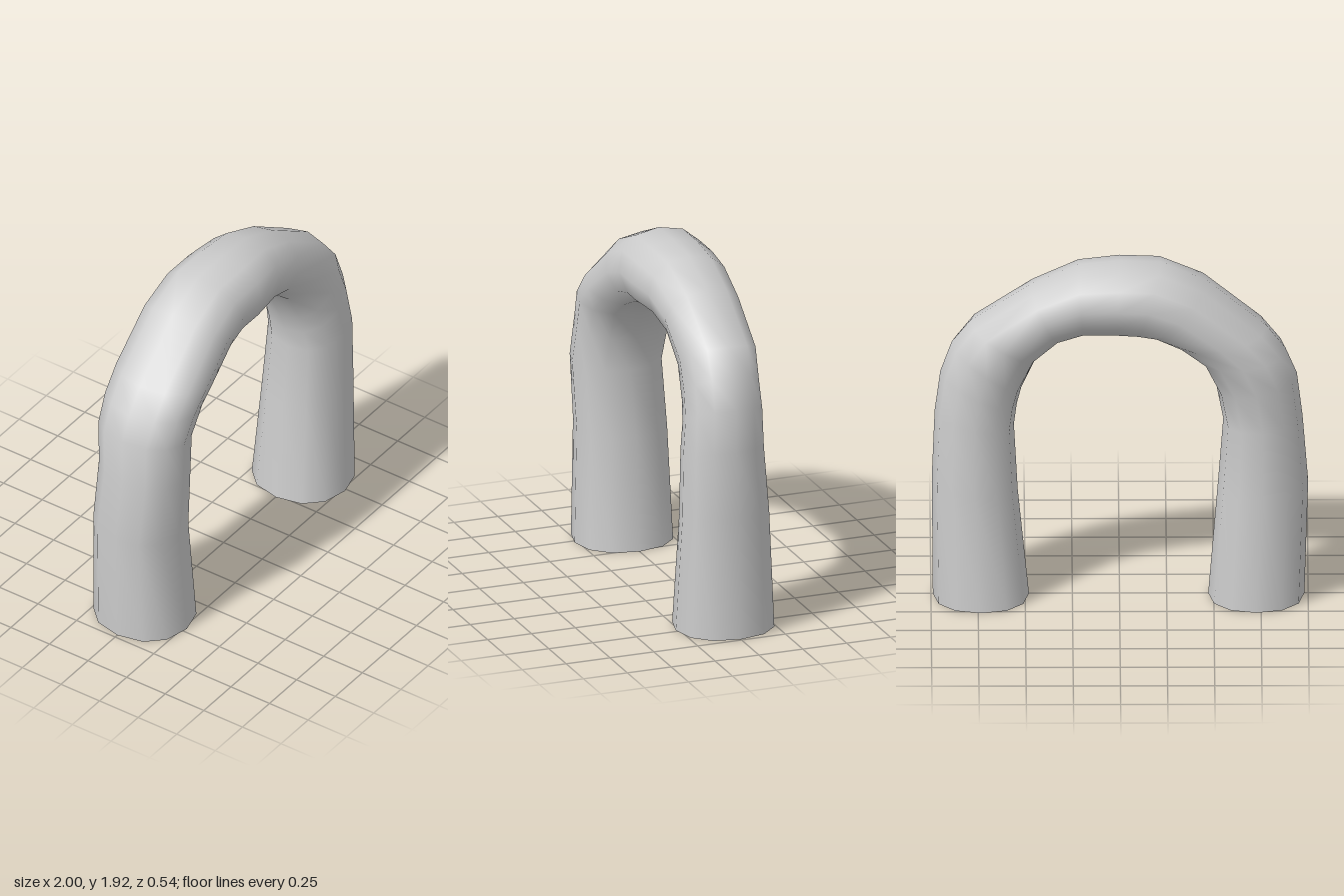
import * as THREE from 'three';

// Cross-sections along the arch: outer x, y, inner x, y, back z, front z
const SECTIONS = [
  [-0.98, 0, -0.47, 0, -0.27, 0.27],
  [-1.0, 0.65, -0.52, 0.62, -0.25, 0.245],
  [-0.97, 1.02, -0.55, 1.0, -0.225, 0.27],
  [-0.94, 1.27, -0.515, 1.19, -0.25, 0.255],
  [-0.88, 1.41, -0.43, 1.36, -0.255, 0.27],
  [-0.78, 1.54, -0.3, 1.455, -0.26, 0.27],
  [-0.46, 1.81, -0.18, 1.505, -0.265, 0.25],
  [-0.22, 1.915, -0.09, 1.515, -0.26, 0.24],
  [0, 1.92, 0.02, 1.52, -0.255, 0.245],
  [0.22, 1.9, 0.19, 1.52, -0.24, 0.22],
  [0.47, 1.79, 0.32, 1.48, -0.23, 0.2],
  [0.79, 1.58, 0.44, 1.37, -0.22, 0.2],
  [0.89, 1.45, 0.52, 1.19, -0.2, 0.21],
  [0.95, 1.28, 0.545, 1.09, -0.2, 0.22],
  [0.98, 1.05, 0.56, 0.97, -0.2, 0.24],
  [0.995, 0.68, 0.54, 0.6, -0.23, 0.245],
  [0.99, 0, 0.48, 0, -0.27, 0.27],
];
const SIDES = 12;

// Slightly squared circle
const soft = (v) => Math.sign(v) * Math.pow(Math.abs(v), 0.9);

function archGeometry() {
  const positions = [];
  const index = [];
  SECTIONS.forEach(([ox, oy, ix, iy, back, front], s) => {
    for (let k = 0; k < SIDES; k++) {
      const t = (k / SIDES) * Math.PI * 2;
      const c = soft(Math.cos(t)) / 2;
      const d = soft(Math.sin(t)) / 2;
      positions.push(
        (ox + ix) / 2 + c * (ox - ix),
        (oy + iy) / 2 + c * (oy - iy),
        (front + back) / 2 + d * (front - back),
      );
      if (s < SECTIONS.length - 1) {
        const a = s * SIDES + k;
        const b = s * SIDES + ((k + 1) % SIDES);
        index.push(a, b, a + SIDES, b, b + SIDES, a + SIDES);
      }
    }
  });
  const geometry = new THREE.BufferGeometry();
  geometry.setAttribute('position', new THREE.Float32BufferAttribute(positions, 3));
  geometry.setIndex(index);
  geometry.computeVertexNormals();
  return geometry;
}

export function createModel() {
  const group = new THREE.Group();
  group.name = 'archedTube';
  // Hollow tube, open at both feet
  const material = new THREE.MeshStandardMaterial({ color: 0xcccccc, side: THREE.DoubleSide });
  const arch = new THREE.Mesh(archGeometry(), material);
  arch.name = 'arch';
  group.add(arch);
  return group;
}
